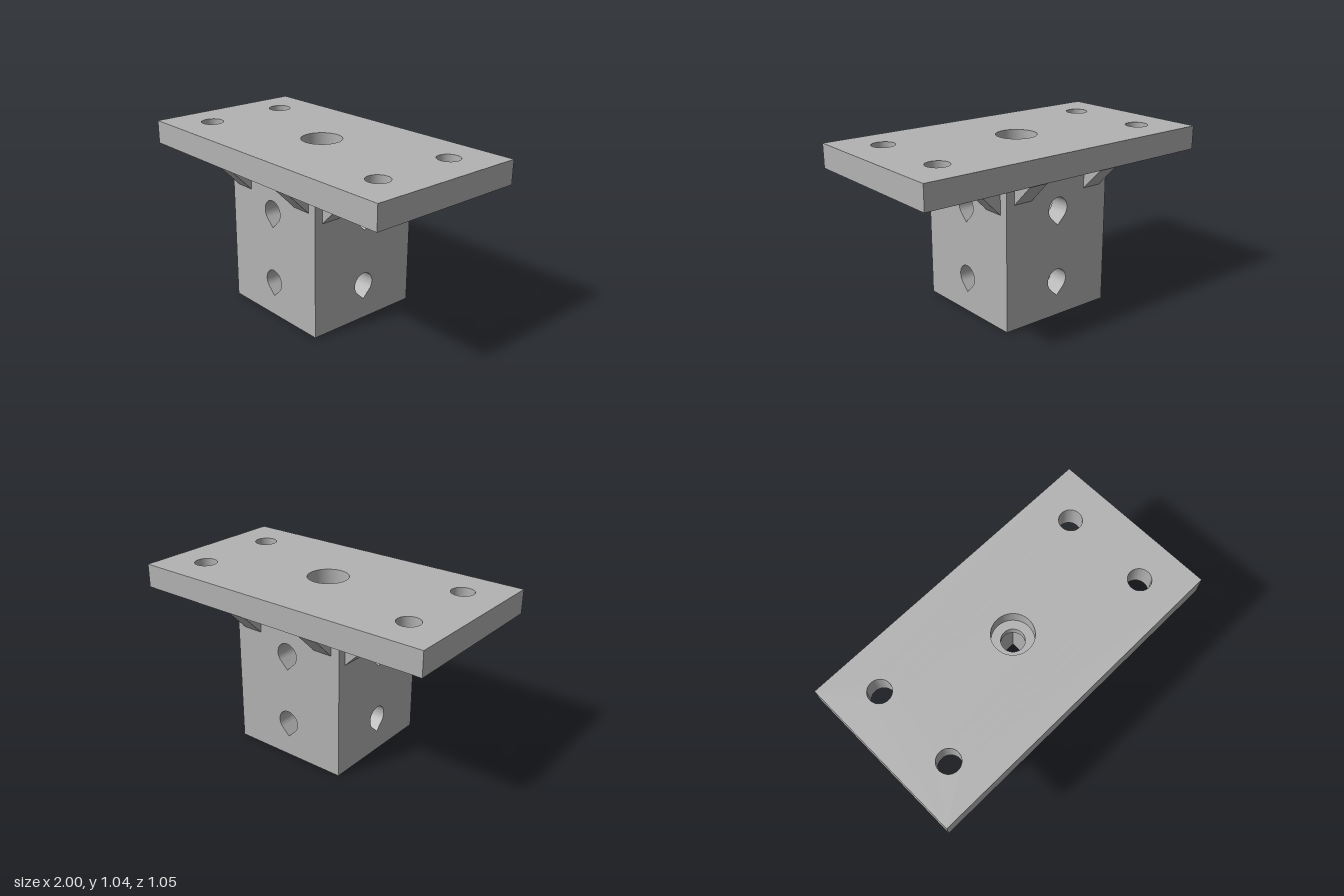
import * as THREE from 'three';
import { toCreasedNormals } from 'three/addons/utils/BufferGeometryUtils.js';

const OUT = 0.38, INN = 0.25;           // outer and inner half-width of the socket
const PLATE_Y = 0.897, TOP = 1.045;     // underside and top of the plate
const HOLE_R = 0.07, BORE_Y = 0.95;     // hole radius and counterbore floor

const rectangle = (x0, y0, x1, y1) => new THREE.Shape([
  new THREE.Vector2(x0, y0), new THREE.Vector2(x1, y0),
  new THREE.Vector2(x1, y1), new THREE.Vector2(x0, y1),
]);

const roundHole = (x, y, r) => new THREE.Path().absarc(x, y, r, 0, Math.PI * 2, false);

// Round hole with a 45 degree point at the bottom
function teardropHole(y) {
  const path = new THREE.Path();
  path.absarc(0, y, HOLE_R, -Math.PI / 4, Math.PI * 1.25, false);
  path.lineTo(0, y - HOLE_R * Math.SQRT2);
  path.closePath();
  return path;
}

const extrude = (shape, depth) =>
  new THREE.ExtrudeGeometry(shape, { depth, bevelEnabled: false, curveSegments: 40 });

// Horizontal slab with four corner holes and a centre hole
function slab(y0, y1, centreRadius) {
  const shape = rectangle(-1, -0.523, 1, 0.523);
  shape.holes.push(roundHole(0, 0, centreRadius));
  for (const x of [-0.75, 0.75])
    for (const z of [-0.273, 0.273]) shape.holes.push(roundHole(x, z, HOLE_R));
  const g = extrude(shape, y1 - y0).rotateX(-Math.PI / 2).translate(0, y0, 0);
  return toCreasedNormals(g, 0.6);
}

// Socket wall with two teardrop holes, mitred at its vertical ends
function wallGeometry() {
  const shape = rectangle(-OUT, 0, OUT, PLATE_Y);
  shape.holes.push(teardropHole(0.226), teardropHole(0.672));
  const g = extrude(shape, OUT - INN).translate(0, 0, INN);
  const p = g.attributes.position;
  for (let i = 0; i < p.count; i++) {
    const x = p.getX(i);
    if (Math.abs(x) > OUT - 0.01 && p.getZ(i) < INN + 0.01) p.setX(i, Math.sign(x) * INN);
  }
  g.computeVertexNormals();
  return toCreasedNormals(g, 0.6);
}

// 45 degree triangular brace on the +z wall, centred on x = 0
function gussetGeometry(size, width) {
  const shape = new THREE.Shape([
    new THREE.Vector2(0, 0), new THREE.Vector2(0, -size), new THREE.Vector2(size, 0),
  ]);
  return extrude(shape, width).rotateY(-Math.PI / 2).translate(width / 2, PLATE_Y, OUT);
}

export function createModel() {
  const model = new THREE.Group();
  model.name = 'mountingBracket';
  const grey = new THREE.MeshStandardMaterial({ color: 0xb3b3b3 });
  grey.name = 'grey';

  const add = (parent, name, geometry) => {
    const mesh = new THREE.Mesh(geometry, grey);
    mesh.name = name;
    parent.add(mesh);
    return mesh;
  };

  // Plate with a counterbored centre hole
  const plate = new THREE.Group();
  plate.name = 'plate';
  add(plate, 'plateLower', slab(PLATE_Y, BORE_Y, HOLE_R));
  add(plate, 'plateUpper', slab(BORE_Y, TOP, 0.125));
  model.add(plate);

  // Four socket sides, each with a wall and two gussets
  const wall = wallGeometry();
  const shortGusset = gussetGeometry(0.137, 0.125);
  const longGusset = gussetGeometry(0.197, 0.125);
  ['front', 'left', 'back', 'right'].forEach((side, i) => {
    const group = new THREE.Group();
    group.name = side + 'Side';
    group.rotation.y = i * Math.PI / 2;
    add(group, side + 'Wall', wall);
    for (const x of [-0.2625, 0.2625])
      add(group, side + 'Gusset', i % 2 ? longGusset : shortGusset).position.x = x;
    model.add(group);
  });

  return model;
}
